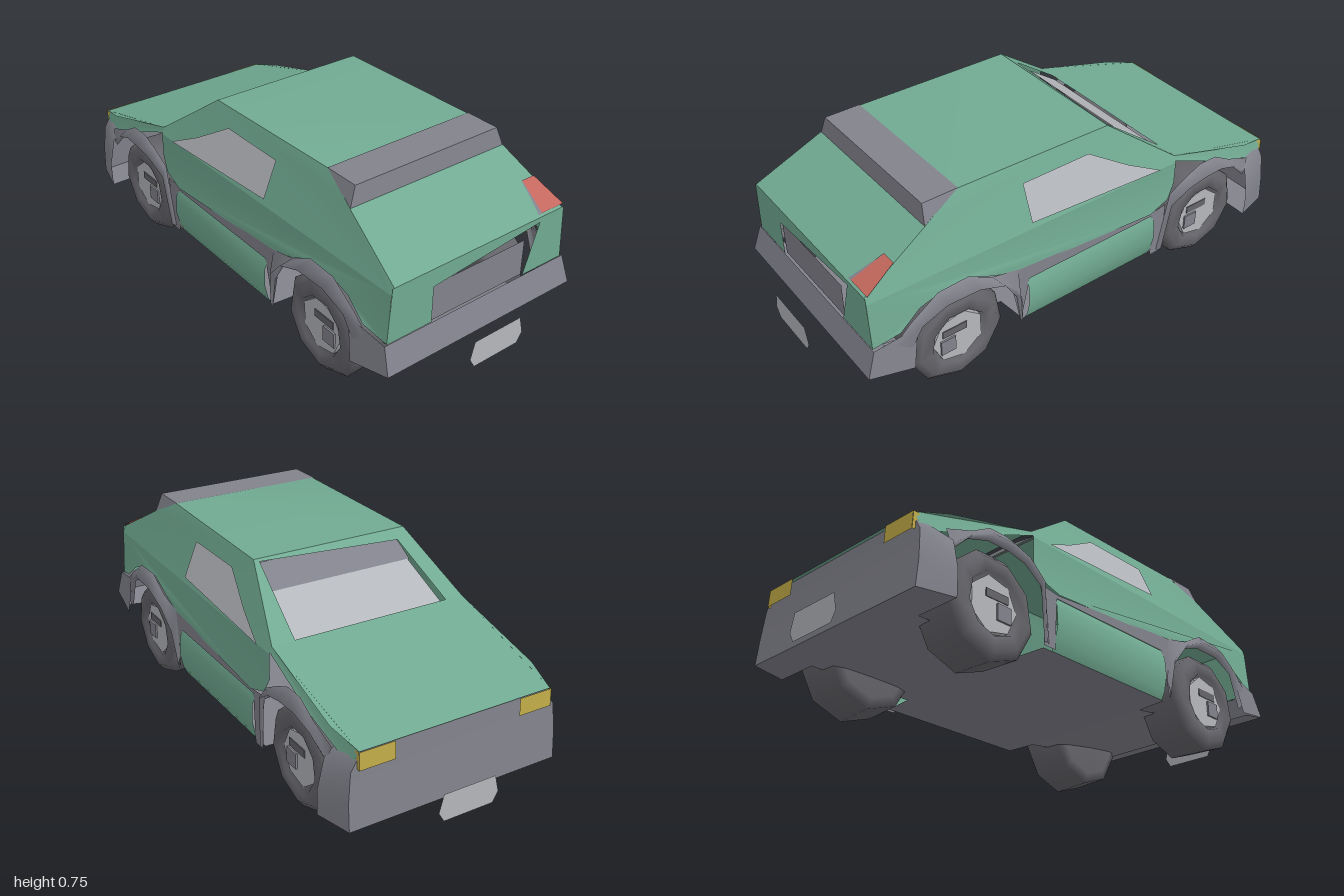
import * as THREE from 'three';

export function createModel() {
  const car = new THREE.Group();
  car.name = 'car';
  const material = (name, color) => {
    const m = new THREE.MeshStandardMaterial({ color, side: THREE.DoubleSide });
    m.name = name;
    return m;
  };
  const green = material('green paint', 0x71aa92);
  const grey = material('grey trim', 0x82828c);
  const rubber = material('dark rubber', 0x65656b);
  const glass = material('light grey', 0xb4b7bb);
  const red = material('red lamp', 0xc4685e);
  const yellow = material('yellow lamp', 0xc2ac48);

  const add = (name, geo, mat, parent = car) => {
    const mesh = new THREE.Mesh(geo, mat);
    mesh.name = name;
    parent.add(mesh);
    return mesh;
  };
  const pair = (name, geo, mat) => {
    add(name + 'Left', geo, mat);
    add(name + 'Right', geo, mat).scale.x = -1;
  };
  // Grid surface through rows of [x, y, z] points
  const surface = (rows) => {
    const n = rows[0].length, index = [];
    for (let r = 0; r < rows.length - 1; r++)
      for (let c = 0; c < n - 1; c++) {
        const a = r * n + c, b = a + n;
        index.push(a, b, a + 1, b, b + 1, a + 1);
      }
    const g = new THREE.BufferGeometry();
    g.setAttribute('position', new THREE.Float32BufferAttribute(rows.flat(2), 3));
    g.setIndex(index);
    g.computeVertexNormals();
    return g;
  };
  // Half width of the body at a given height and length
  const halfWidth = (y, z) => {
    const taper = Math.max(0, Math.abs(z) - 0.8) * 0.22;
    return (y > 0.515 ? 0.41 - (y - 0.515) * 0.41 : 0.41 + Math.max(0, 0.4 - y) * 0.15) - taper;
  };
  const outline = (pts) => new THREE.ShapeGeometry(new THREE.Shape(pts.map(p => new THREE.Vector2(...p))));
  // Flat [z, y] outline wrapped onto the body side
  const sidePanel = (pts, out = 0, width = halfWidth) => {
    const g = outline(pts), p = g.attributes.position;
    for (let i = 0; i < p.count; i++) {
      const z = p.getX(i), y = p.getY(i);
      p.setXYZ(i, width(y, z) + out, y, z);
    }
    // Outlines lie in z-y, so the winding turns over to face outwards
    const index = g.index.array;
    for (let i = 0; i < index.length; i += 3) [index[i], index[i + 1]] = [index[i + 1], index[i]];
    g.computeVertexNormals();
    return g;
  };
  // Surface spanning the full width along a [z, y] profile, listed rear to front
  const across = (profile, width = halfWidth) =>
    surface(profile.map(([z, y]) => [[-width(y, z), y, z], [width(y, z), y, z]]));
  // Front-facing or rear-facing flat outline
  const upright = (pts, z) => {
    const g = outline(pts);
    if (z < 0) g.rotateY(Math.PI);
    return g.translate(0, 0, z);
  };

  // Painted shell
  add('roofAndHatch', across([[0.9, 0.54], [0.64, 0.68], [0.5, 0.75], [-0.15, 0.74]]), green);
  add('hood', across([[-0.42, 0.54], [-0.8, 0.434], [-0.925, 0.4]]), green);
  pair('upperSide', sidePanel([[0.9, 0.515], [0.9, 0.54], [0.64, 0.68], [0.5, 0.75],
    [-0.15, 0.74], [-0.42, 0.54], [-0.42, 0.515]]), green);
  pair('lowerSide', sidePanel([[0.9, 0.515], [0.9, 0.33], [0.8, 0.36], [0.72, 0.42], [0.62, 0.45],
    [0.52, 0.45], [0.42, 0.4], [0.3, 0.37], [-0.3, 0.33], [-0.39, 0.36], [-0.42, 0.42], [-0.42, 0.515]]), green);
  pair('hoodSide', sidePanel([[-0.42, 0.54], [-0.925, 0.4], [-0.9, 0.335], [-0.66, 0.42], [-0.42, 0.52]]), green);
  add('rearPanel', upright([[-0.385, 0.54], [-0.4, 0.33], [-0.21, 0.33], [-0.21, 0.47], [0.27, 0.52],
    [0.21, 0.33], [0.4, 0.33], [0.385, 0.54]], 0.9), green);
  add('rearPlateRecess', upright([[-0.21, 0.33], [0.21, 0.33], [0.21, 0.47], [-0.21, 0.47]], 0.893), grey);

  // Windshield frame with an offset opening, and the glass behind it
  const slope = (x, z, drop = 0) => [x, 0.74 + (z + 0.15) * 0.741 - drop, z];
  const outer = [slope(-0.318, -0.15), slope(0.318, -0.15), slope(0.4, -0.42), slope(-0.4, -0.42)];
  const inner = [slope(-0.265, -0.19), slope(0.3, -0.16), slope(0.31, -0.418), slope(-0.325, -0.418)];
  add('windshieldFrame', surface([[...inner, inner[0]], [...outer, outer[0]]]), green);
  add('windshield', surface([[slope(-0.27, -0.25, 0.012), slope(0.31, -0.25, 0.012)],
    [slope(-0.31, -0.42, 0.012), slope(0.31, -0.42, 0.012)]]), glass);
  add('windshieldShade', surface([[slope(-0.27, -0.15, 0.015), slope(0.31, -0.15, 0.015)],
    [slope(-0.28, -0.25, 0.015), slope(0.31, -0.25, 0.015)]]), grey);
  const upperWidth = (y) => 0.41 - (y - 0.515) * 0.41;
  pair('sideWindow', sidePanel([[0.25, 0.68], [-0.04, 0.68], [-0.2, 0.585], [-0.34, 0.517],
    [0.25, 0.545]], 0.005, upperWidth), glass);

  // Wedge spoiler on top of the hatch
  const spoiler = [[0.49, 0.752, 0.315], [0.63, 0.752, 0.315], [0.64, 0.678, 0.342]];
  add('spoilerTop', surface([spoiler[1], spoiler[0]].map(([z, y, x]) => [[-x, y, z], [x, y, z]])), grey);
  add('spoilerBack', surface([spoiler[2], spoiler[1]].map(([z, y, x]) => [[-x, y, z], [x, y, z]])), grey);
  pair('spoilerEnd', surface([[spoiler[2], spoiler[1]], [spoiler[0], spoiler[0]]]
    .map(row => row.map(([z, y, x]) => [x, y, z]))), grey);

  // Lamps
  add('tailLamp', surface([[[0.285, 0.548, 0.893], [0.388, 0.548, 0.893]],
    [[0.305, 0.612, 0.775], [0.362, 0.612, 0.775]]]), red);
  add('tailLampEdge', surface([[[0.27, 0.546, 0.893], [0.287, 0.546, 0.893]],
    [[0.303, 0.611, 0.775], [0.306, 0.611, 0.775]]]), grey);
  pair('headlamp', surface([[[0.385, 0.4, -0.929], [0.25, 0.4, -0.929]],
    [[0.385, 0.335, -0.932], [0.25, 0.335, -0.932]]]), yellow);
  pair('headlampEnd', surface([[[0.386, 0.4, -0.905], [0.386, 0.4, -0.929]],
    [[0.386, 0.335, -0.905], [0.386, 0.335, -0.932]]]), yellow);

  // Bumpers with swept-back ends
  const frontRows = [[0.395, -0.918, 0.37, 0.38], [0.33, -0.92, 0.41, 0.43],
    [0.22, -0.927, 0.42, 0.455], [0.12, -0.935, 0.42, 0.455]];
  add('frontBumper', surface(frontRows.map(([y, z, x]) => [[x, y, z], [0, y, z], [-x, y, z]])), grey);
  pair('frontBumperEnd', surface(frontRows.map(([y, z, x, w]) => [[w, Math.min(y, 0.37), -0.8], [x, y, z]])), grey);
  add('rearBumper', surface([[[-0.42, 0.23, 0.935], [0.42, 0.23, 0.935]],
    [[-0.41, 0.33, 0.902], [0.41, 0.33, 0.902]]]), grey);
  pair('rearBumperEnd', surface([[[0.42, 0.23, 0.935], [0.44, 0.2, 0.77]],
    [[0.41, 0.33, 0.902], [0.425, 0.36, 0.74]]]), grey);

  // Floor pan, rising towards the back
  add('floor', surface([[0.28, -0.935, 0.12], [0.28, -0.37, 0.12], [0.4, -0.36, 0.12], [0.4, 0.29, 0.12],
    [0.28, 0.3, 0.12], [0.28, 0.8, 0.2], [0.42, 0.82, 0.21], [0.42, 0.935, 0.23]]
    .map(([x, z, y]) => [[-x, y, z], [x, y, z]])), grey);
  add('frontBumperBase', surface([[[-0.42, 0.12, -0.935], [0.42, 0.12, -0.935]],
    [[-0.455, 0.12, -0.8], [0.455, 0.12, -0.8]]]), grey);
  add('rearValance', surface([[[-0.28, 0.12, 0.3], [0.28, 0.12, 0.3]],
    [[-0.28, 0.19, 0.8], [0.28, 0.19, 0.8]]]), grey);

  // Sills and bulged side skirts
  pair('sill', sidePanel([[0.33, 0.38], [-0.3, 0.33], [-0.38, 0.34], [-0.375, 0.12], [-0.32, 0.12],
    [-0.31, 0.315], [0.27, 0.315], [0.31, 0.13], [0.34, 0.27], [0.36, 0.36]], 0.004, () => 0.412), grey);
  pair('sideSkirt', surface([[0.408, 0.32], [0.425, 0.28], [0.428, 0.21], [0.415, 0.15], [0.4, 0.12]]
    .map(([x, y]) => [[x, y, 0.28], [x, y, -0.32]])), green);

  // Ridged wheel arches: each row is inner edge, ridge and outer edge
  const arch = (innerEdge, outerEdge) => surface(innerEdge.map(([z, y], i) => {
    const [oz, oy] = outerEdge[i];
    const bulge = Math.sin(Math.PI * i / (innerEdge.length - 1));
    return [[0.418, y, z], [0.425 + 0.028 * bulge, y * 0.75 + oy * 0.25, z * 0.75 + oz * 0.25], [0.415, oy, oz]];
  }));
  pair('rearArch', arch([[0.77, 0.22], [0.72, 0.36], [0.63, 0.4], [0.5, 0.4], [0.39, 0.36], [0.33, 0.26], [0.31, 0.13]],
    [[0.85, 0.3], [0.76, 0.38], [0.65, 0.455], [0.53, 0.46], [0.43, 0.405], [0.32, 0.38], [0.3, 0.2]]), grey);
  pair('frontArch', arch([[-0.375, 0.13], [-0.39, 0.33], [-0.47, 0.385], [-0.55, 0.4], [-0.64, 0.4], [-0.73, 0.37], [-0.8, 0.3]],
    [[-0.35, 0.13], [-0.4, 0.38], [-0.48, 0.425], [-0.55, 0.455], [-0.63, 0.455], [-0.71, 0.41], [-0.82, 0.37]]), grey);

  // Nine-sided wheels with a recessed rim
  const tyre = new THREE.LatheGeometry([[0, 0.2], [0.15, 0.21], [0.188, 0.225], [0.195, 0.38], [0.165, 0.405],
    [0.115, 0.405], [0.105, 0.375], [0, 0.375]].map(p => new THREE.Vector2(...p)), 9, Math.PI / 2);
  tyre.rotateZ(-Math.PI / 2);
  const rim = new THREE.CylinderGeometry(0.105, 0.105, 0.02, 7).rotateZ(-Math.PI / 2).translate(0.385, 0, 0);
  for (const [end, z] of [['front', -0.59], ['rear', 0.565]])
    for (const side of [1, -1]) {
      const wheel = new THREE.Group();
      wheel.name = end + 'Wheel' + (side > 0 ? 'Left' : 'Right');
      wheel.position.set(0, 0.195, z);
      wheel.scale.x = side;
      car.add(wheel);
      add('tyre', tyre, rubber, wheel);
      add('rim', rim, glass, wheel);
      add('rimSlot', new THREE.BoxGeometry(0.012, 0.03, 0.1), rubber, wheel).position.set(0.392, 0.035, 0.015);
      add('hub', new THREE.BoxGeometry(0.03, 0.06, 0.06), grey, wheel).position.set(0.387, -0.02, 0.045);
    }

  // Blank plates standing clear of the bumpers
  const plate = (y) => [[-0.105, y + 0.052], [-0.122, y - 0.015], [-0.1, y - 0.053],
    [0.1, y - 0.053], [0.122, y - 0.015], [0.105, y + 0.052]];
  add('rearPlate', upright(plate(0.208), 1), glass);
  add('frontPlate', upright(plate(0.138), -1), glass);

  return car;
}
